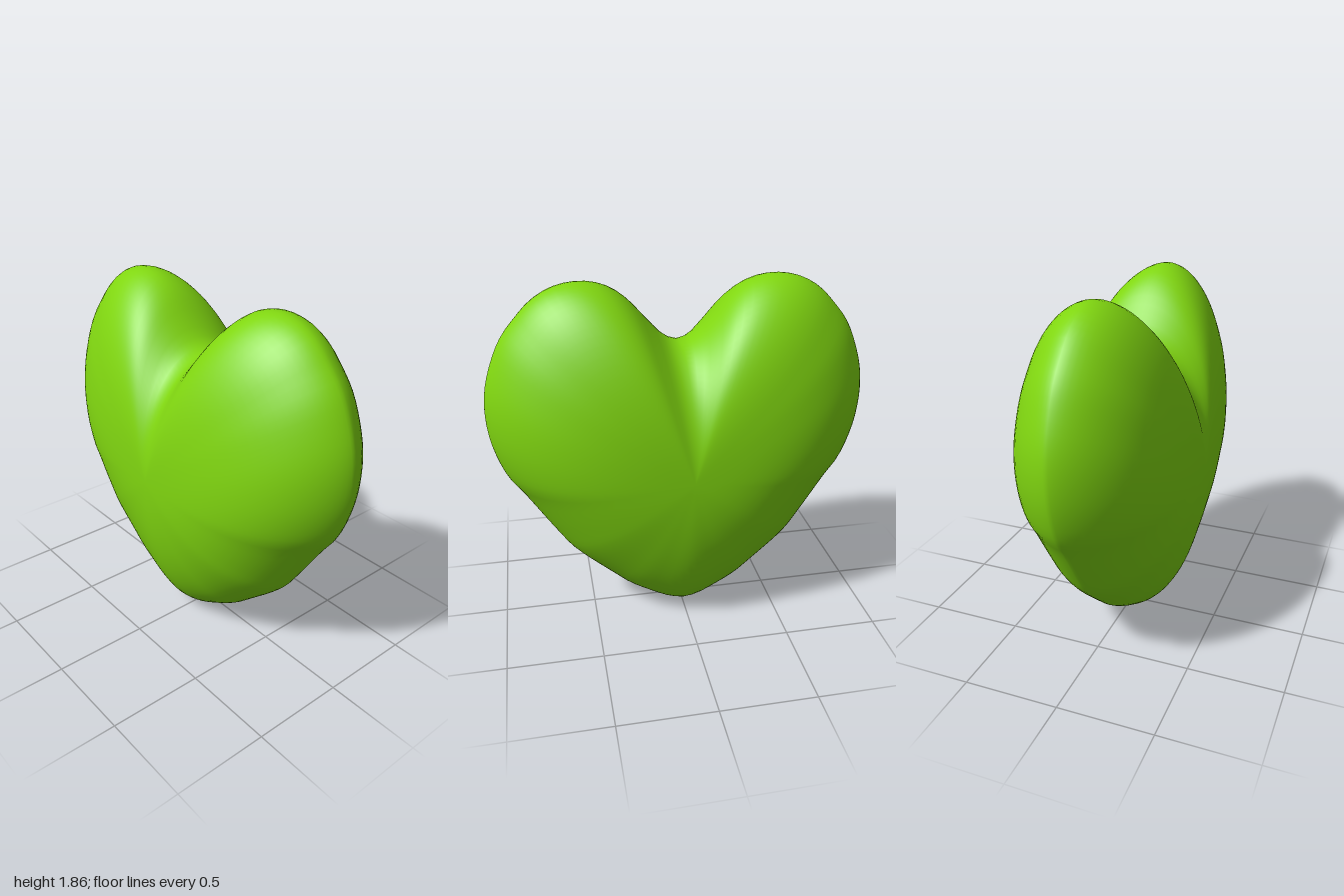
import * as THREE from 'three';

// Right-hand half of the heart outline, from the notch down to the tip
const HALF = [
  [0, 1.535], [0.07, 1.56], [0.16, 1.65], [0.27, 1.77], [0.37, 1.835], [0.49, 1.86],
  [0.62, 1.84], [0.73, 1.78], [0.81, 1.70], [0.89, 1.60], [0.95, 1.47], [0.99, 1.33],
  [1, 1.19], [0.98, 1.03], [0.92, 0.86], [0.85, 0.76], [0.70, 0.53], [0.61, 0.405],
  [0.40, 0.215], [0.31, 0.14], [0.20, 0.075], [0.09, 0.02], [0, 0],
];
const CENTRE_Y = 0.92;
const HALF_DEPTH = 0.42;
const SEGMENTS = 120;
const RINGS = 48;

function heartOutline() {
  const mirrored = HALF.slice(1, -1).reverse().map(([x, y]) => [-x, y]);
  const points = [...HALF, ...mirrored].map(([x, y]) => new THREE.Vector3(x, y, 0));
  return new THREE.CatmullRomCurve3(points, true).getSpacedPoints(SEGMENTS).slice(0, SEGMENTS);
}

// Rings of the outline swell from the front pole to full size and shrink to the back pole
function heartGeometry() {
  const outline = heartOutline();
  const positions = [0, CENTRE_Y, HALF_DEPTH];
  const index = [];
  for (let i = 1; i < RINGS; i++) {
    const t = (i / RINGS) * Math.PI;
    const s = i === RINGS / 2 ? 1 : Math.sin(t);
    for (const p of outline) {
      const dy = p.y - CENTRE_Y;
      // Sides are fuller than the top and bottom
      const side = (p.x * p.x) / (p.x * p.x + dy * dy);
      const z = HALF_DEPTH * Math.pow(Math.max(0, 1 - Math.pow(s, 2 + 1.2 * side)), 0.5 + 0.2 * side);
      positions.push(p.x * s, CENTRE_Y + dy * s, i <= RINGS / 2 ? z : -z);
    }
  }
  positions.push(0, CENTRE_Y, -HALF_DEPTH);
  const backPole = positions.length / 3 - 1;
  const at = (ring, j) => 1 + (ring - 1) * SEGMENTS + (j % SEGMENTS);
  for (let j = 0; j < SEGMENTS; j++) {
    index.push(0, at(1, j + 1), at(1, j));
    for (let i = 1; i < RINGS - 1; i++) {
      const a = at(i, j), b = at(i, j + 1), c = at(i + 1, j), d = at(i + 1, j + 1);
      index.push(a, b, c, b, d, c);
    }
    index.push(backPole, at(RINGS - 1, j), at(RINGS - 1, j + 1));
  }
  const geometry = new THREE.BufferGeometry();
  geometry.setAttribute('position', new THREE.Float32BufferAttribute(positions, 3));
  geometry.setIndex(index);
  geometry.computeVertexNormals();
  return geometry;
}

export function createModel() {
  const group = new THREE.Group();
  group.name = 'heart';
  const body = new THREE.Mesh(heartGeometry(), new THREE.MeshStandardMaterial({ color: 0x80d610 }));
  body.name = 'heartBody';
  group.add(body);
  return group;
}
